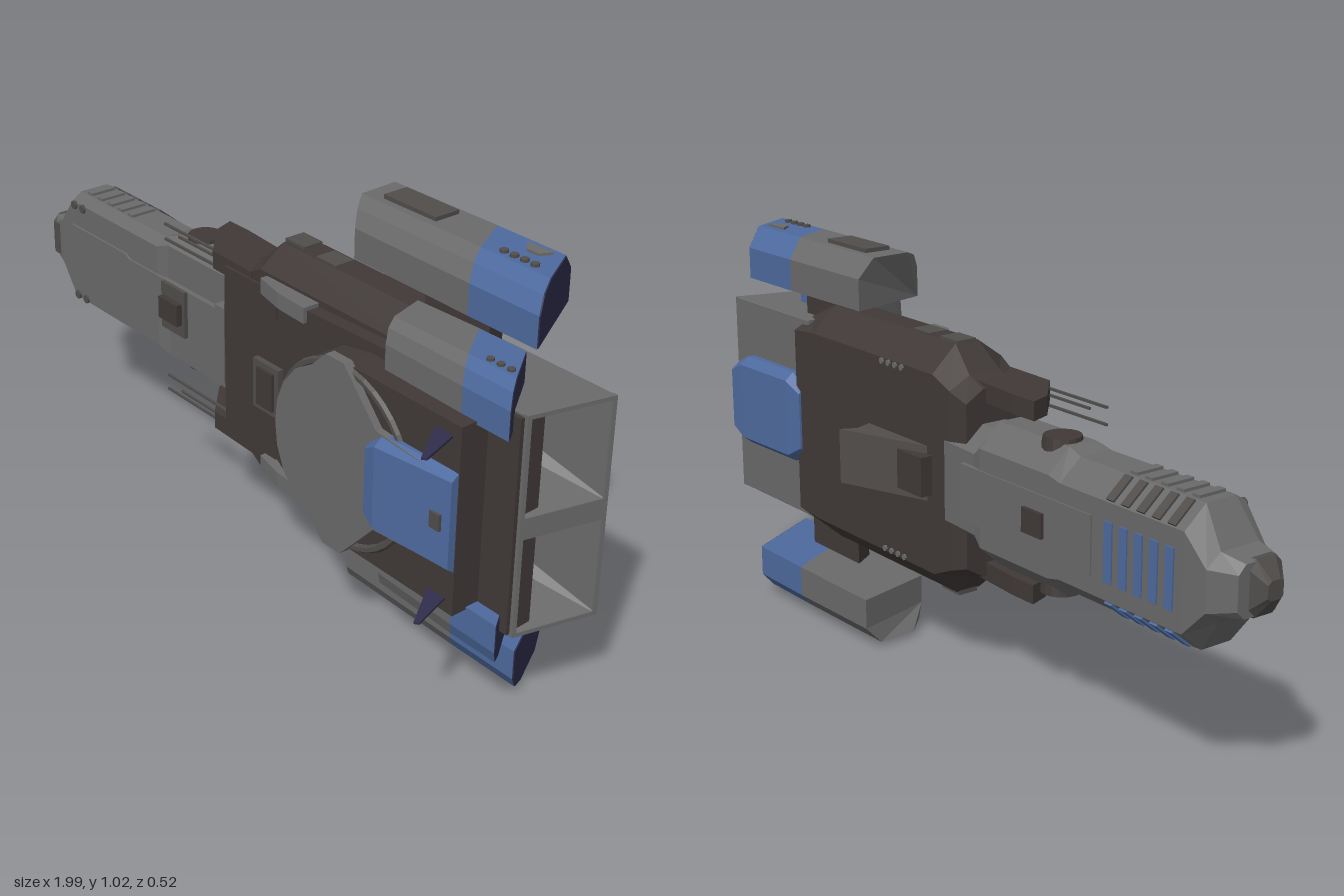
import * as THREE from 'three';

export function createModel() {
  const mat = (name, color) => {
    const m = new THREE.MeshStandardMaterial({ color });
    m.name = name;
    m.flatShading = true;
    return m;
  };
  const grey = mat('hull grey', 0x6a6a6a), brown = mat('dark brown', 0x403937);
  const blue = mat('panel blue', 0x4d6a9e), navy = mat('engine navy', 0x302e4c);
  const slate = mat('detail grey', 0x504d4b);

  const root = new THREE.Group();
  const ship = new THREE.Group();
  ship.name = 'ship';
  ship.position.y = 0.512; // the ship mirrors about this height
  root.add(ship);

  const add = (name, geo, m) => {
    const mesh = new THREE.Mesh(geo, m);
    mesh.name = name;
    ship.add(mesh);
    return mesh;
  };
  const box = (name, m, x0, x1, y0, y1, z0, z1) =>
    add(name, new THREE.BoxGeometry(x1 - x0, y1 - y0, z1 - z0), m)
      .position.set((x0 + x1) / 2, (y0 + y1) / 2, (z0 + z1) / 2);

  // Skin along x through [x or x(y, z), ring of [y, z]]
  const loft = (name, m, sections, startCap = true, endCap = true) => {
    const rings = sections.map(([x, ring]) =>
      ring.map(([y, z]) => [typeof x === 'function' ? x(y, z) : x, y, z]));
    const out = [], tri = (a, b, c) => out.push(...a, ...b, ...c);
    const n = rings[0].length, last = rings[rings.length - 1];
    for (let i = 0; i + 1 < rings.length; i++) for (let j = 0; j < n; j++) {
      const k = (j + 1) % n, a = rings[i], b = rings[i + 1];
      tri(a[j], a[k], b[k]);
      tri(a[j], b[k], b[j]);
    }
    for (let j = 1; j + 1 < n; j++) {
      if (startCap) tri(rings[0][0], rings[0][j + 1], rings[0][j]);
      if (endCap) tri(last[0], last[j], last[j + 1]);
    }
    const g = new THREE.BufferGeometry();
    g.setAttribute('position', new THREE.Float32BufferAttribute(out, 3));
    g.computeVertexNormals();
    return add(name, g, m);
  };
  // Chamfered section: half width, front z, back z, front and back chamfers
  const oct = (h, f, b, fy, fz, by, bz) => [
    [h - fy, f], [fy - h, f], [-h, f - fz], [-h, b + bz],
    [by - h, b], [h - by, b], [h, b + bz], [h, f - fz]];
  const side = (ring, s) => s > 0 ? ring : ring.map(([y, z]) => [-y, z]).reverse();
  const shape = pts => new THREE.Shape(pts.map(p => new THREE.Vector2(...p)));
  const prism = (pts, depth) => new THREE.ExtrudeGeometry(shape(pts), { depth, bevelEnabled: false });
  // Plate facing z, mirrored from its upper outline
  const slab = (name, m, half, z0, z1) => {
    const pts = [...half, ...half.slice().reverse().filter(p => p[1] !== 0).map(([x, y]) => [x, -y])];
    add(name, prism(pts, z1 - z0).translate(0, 0, z0), m);
  };
  // Plate facing y with an outline in x, z
  const fin = (name, m, pts, y0, y1) =>
    add(name, prism(pts.map(([x, z]) => [x, -z]), y1 - y0).rotateX(-Math.PI / 2).translate(0, y0, 0), m);

  // Nose and neck
  loft('noseTip', slate, [
    [-1, oct(0.022, -0.04, -0.085, 0.008, 0.01, 0.008, 0.01)],
    [-0.968, oct(0.065, -0.016, -0.11, 0.02, 0.02, 0.02, 0.02)],
    [-0.91, oct(0.065, -0.016, -0.13, 0.02, 0.02, 0.02, 0.02)]]);
  loft('neck', grey, [
    [-0.97, oct(0.06, -0.02, -0.14, 0.02, 0.01, 0.02, 0.02)],
    [-0.92, oct(0.078, -0.014, -0.183, 0.015, 0.02, 0.03, 0.04)],
    [-0.857, oct(0.163, -0.012, -0.187, 0.02, 0.03, 0.05, 0.06)],
    [-0.46, oct(0.163, -0.012, -0.187, 0.02, 0.03, 0.05, 0.06)],
    [-0.42, oct(0.177, -0.02, -0.187, 0.02, 0.03, 0.055, 0.06)],
    [-0.17, oct(0.177, -0.02, -0.187, 0.02, 0.03, 0.055, 0.06)],
    [-0.14, oct(0.15, -0.02, -0.18, 0.02, 0.03, 0.05, 0.06)],
    [0, oct(0.15, -0.02, -0.17, 0.02, 0.03, 0.05, 0.06)]]);
  slab('neckFrontPanel', grey, [[-0.9, 0], [-0.86, 0.075], [-0.6, 0.075], [-0.58, 0.065], [-0.1, 0.065], [-0.1, 0]], -0.03, -0.006);
  slab('neckBackPanel', grey, [[-0.57, 0], [-0.57, 0.07], [-0.1, 0.07], [-0.1, 0]], -0.191, -0.18);
  box('neckFrontHatch', slate, -0.42, -0.32, -0.065, 0.065, -0.03, 0.005);
  box('neckFrontSensor', brown, -0.41, -0.33, -0.03, 0.03, 0, 0.022);
  box('neckBackSensor', brown, -0.41, -0.34, -0.03, 0.03, -0.2, -0.18);
  box('neckCollar', grey, -0.18, -0.08, -0.09, 0.09, -0.04, 0.012);
  box('neckCollarStep', slate, -0.13, -0.07, -0.11, 0.11, -0.04, 0.02);
  for (let i = 0; i < 5; i++) {
    const x = -0.83 + i * 0.048;
    box('backVent', blue, x, x + 0.025, -0.07, 0.07, -0.191, -0.184);
    for (const s of [1, -1]) {
      const vent = add('chamferVent', new THREE.BoxGeometry(0.024, 0.07, 0.008), s > 0 ? slate : blue);
      vent.position.set(x + 0.012, s * 0.139, -0.158);
      vent.rotation.x = s * 0.876;
      box('neckRib', grey, x, x + 0.022, s * 0.163 - 0.007, s * 0.163 + 0.007, -0.12, -0.045);
    }
  }
  for (const s of [1, -1]) {
    for (const x of [-0.845, -0.805])
      add('noseLamp', new THREE.CylinderGeometry(0.012, 0.012, 0.008, 10).rotateX(Math.PI / 2), slate).position.set(x, s * 0.135, -0.01);
    add('neckTurret', new THREE.CylinderGeometry(0.045, 0.05, 0.03, 16), brown).position.set(-0.365, s * 0.172, -0.1);
  }

  // Main hull, with the deck stepped on its front
  loft('hull', brown, [
    [-0.09, oct(0.235, 0.02, -0.165, 0.02, 0.04, 0.03, 0.05)],
    [-0.03, oct(0.255, 0.03, -0.17, 0.02, 0.05, 0.03, 0.06)],
    [0.035, oct(0.318, 0.035, -0.172, 0.05, 0.07, 0.065, 0.07)],
    [0.56, oct(0.318, 0.035, -0.172, 0.05, 0.07, 0.065, 0.07)],
    [0.65, oct(0.275, 0.035, -0.172, 0.02, 0.05, 0.03, 0.06)]]);
  slab('deck', brown, [[0.06, 0], [0.06, 0.13], [0.13, 0.18], [0.24, 0.25], [0.55, 0.26], [0.93, 0.265], [0.93, 0]], 0, 0.07);
  slab('foreDeck', brown, [[-0.1, 0], [-0.1, 0.23], [0.1, 0.23], [0.1, 0]], 0, 0.04);
  box('deckHatch', slate, 0.07, 0.165, -0.065, 0.065, 0.05, 0.085);
  box('deckHatchLid', brown, 0.09, 0.15, -0.05, 0.05, 0.08, 0.092);
  fin('backWedge', slate, [[0.04, -0.165], [0.31, -0.165], [0.29, -0.22], [0.31, -0.26]], -0.07, 0.07);
  box('backWedgeLid', brown, 0.04, 0.14, -0.05, 0.05, -0.205, -0.16);

  // Gun drum, cap and front armour
  slab('turretDrum', brown, [[0.235, 0], [0.252, 0.09], [0.305, 0.165], [0.38, 0.215], [0.47, 0.232], [0.84, 0.232], [0.84, 0]], 0.06, 0.146);
  add('turretRing', new THREE.TorusGeometry(0.222, 0.01, 6, 40), slate).position.set(0.47, 0, 0.146);
  slab('turretCap', grey, [[0.255, 0], [0.262, 0.06], [0.285, 0.115], [0.325, 0.163], [0.38, 0.195], [0.43, 0.243],
    [0.49, 0.243], [0.54, 0.19], [0.6, 0.125], [0.78, 0.11], [0.78, 0]], 0.14, 0.165);
  loft('frontArmour', blue, [
    [0.583, oct(0.095, 0.18, 0.135, 0.015, 0.02, 0.005, 0.005)],
    [0.62, oct(0.122, 0.187, 0.13, 0.02, 0.025, 0.005, 0.005)],
    [0.838, oct(0.122, 0.165, 0.115, 0.015, 0.02, 0.005, 0.005)]]);
  box('armourLatch', slate, 0.785, 0.815, -0.02, 0.02, 0.155, 0.175);
  loft('backArmour', blue, [
    [0.63, oct(0.09, -0.14, -0.178, 0.005, 0.005, 0.015, 0.015)],
    [0.68, oct(0.123, -0.14, -0.188, 0.005, 0.005, 0.02, 0.025)],
    [0.9, oct(0.123, -0.14, -0.195, 0.005, 0.005, 0.02, 0.025)],
    [0.95, oct(0.1, -0.14, -0.195, 0.005, 0.005, 0.02, 0.025)]]);

  // Slanted engine housing with two tapered nozzles
  const slant = (y, z) => 0.96 - 0.24 * (z + 0.045);
  loft('engineHousing', grey, [
    [0.62, oct(0.272, 0.055, -0.148, 0.002, 0.002, 0.002, 0.002)],
    [slant, oct(0.272, 0.06, -0.15, 0.002, 0.002, 0.002, 0.002)]], true, false);
  const rim = shape([[-0.06, -0.272], [0.15, -0.272], [0.15, 0.272], [-0.06, 0.272]]);
  for (const s of [1, -1])
    rim.holes.push(new THREE.Path([[-0.05, s * 0.026], [0.14, s * 0.026], [0.14, s * 0.262], [-0.05, s * 0.262]].map(p => new THREE.Vector2(...p))));
  const rimGeo = new THREE.ExtrudeGeometry(rim, { depth: 0.014, bevelEnabled: false }).rotateY(Math.PI / 2);
  const p = rimGeo.attributes.position;
  for (let i = 0; i < p.count; i++) p.setX(i, p.getX(i) + slant(0, p.getZ(i)) - 0.01);
  rimGeo.computeVertexNormals();
  add('engineRim', rimGeo, grey);

  for (const s of [1, -1]) {
    const inward = (y0, y1, f, b, c) => side([[y0 + c, f], [y0, f - c], [y0, b + c], [y0 + c, b],
      [y1 - c, b], [y1, b + c], [y1, f - c], [y1 - c, f]], s).slice().reverse();
    loft('nozzle', grey, [
      [0.76, inward(0.075, 0.215, 0.01, -0.1, 0.03)],
      [slant, inward(0.026, 0.262, 0.05, -0.14, 0.002)]], true, false);
    box('nozzleCore', brown, 0.755, 0.775, s * 0.145 - 0.045, s * 0.145 + 0.045, -0.08, -0.01);

    // Outer engine pod
    const big = side([[0.375, -0.015], [0.375, -0.237], [0.455, -0.237], [0.503, -0.19],
      [0.503, -0.08], [0.487, -0.037], [0.45, -0.015]], s);
    const cut = x => (y, z) => x + 0.56 * (z + 0.126);
    loft('outerPodNose', grey, [
      [(y, z) => 0.25 + 0.06 * Math.max(0, (z + 0.09) / 0.075), big.map(([y, z]) => [y * 0.985 + s * 0.006, z * 0.96 - 0.005])],
      [cut(0.615), big]]);
    loft('outerPodBand', blue, [[cut(0.615), big], [cut(0.817), big]]);
    loft('outerPodNozzle', navy, [[cut(0.816), big], [cut(0.82), big.map(([y, z]) => [y * 0.98 + s * 0.0088, z * 0.97 - 0.004])]]);
    box('outerPodRidge', slate, 0.31, 0.48, s * 0.502 - 0.01, s * 0.502 + 0.01, -0.17, -0.1);
    fin('podMarker', grey, [[0.69, -0.17], [0.765, -0.17], [0.75, -0.14], [0.715, -0.14]], s * 0.503 - 0.006, s * 0.503 + 0.006);
    for (let i = 0; i < 4; i++)
      add('podLamp', new THREE.CylinderGeometry(0.01, 0.01, 0.014, 8), slate).position.set(0.69 + i * 0.03, s * 0.503, -0.1);

    // Inner engine pod
    const small = side([[0.225, 0.105], [0.225, -0.04], [0.343, -0.04], [0.343, 0.06], [0.33, 0.092], [0.295, 0.105]], s);
    const trim = x => (y, z) => x + 0.72 * (z - 0.03);
    loft('innerPodNose', grey, [
      [(y, z) => 0.5 + 0.5 * Math.max(0, z), small.map(([y, z]) => [y * 0.97 + s * 0.006, z * 0.94])],
      [trim(0.74), small]]);
    loft('innerPodBand', blue, [[trim(0.74), small], [trim(0.878), small]]);
    loft('innerPodNozzle', navy, [[trim(0.877), small], [trim(0.88), small.map(([y, z]) => [y * 0.97 + s * 0.008, z * 0.96])]]);
    for (let i = 0; i < 3; i++)
      add('innerPodLamp', new THREE.CylinderGeometry(0.009, 0.009, 0.012, 8), slate).position.set(0.81 + i * 0.03, s * 0.343, 0.045);

    // Pylon between hull and outer pod
    fin('pylon', brown, [[0.48, -0.1], [0.7, -0.1], [0.72, -0.04], [0.52, -0.04]], s > 0 ? 0.25 : -0.38, s > 0 ? 0.38 : -0.25);

    // Fore bracket, side blocks and gun barrels
    const y0 = s > 0 ? 0.2 : -0.247;
    fin('foreBracket', brown, [[-0.28, -0.115], [-0.2, -0.115], [0, -0.1], [0, 0.035], [-0.16, 0.03], [-0.26, -0.06]], y0, y0 + 0.047);
    for (const [y, x] of [[0.236, -0.39], [0.195, -0.39], [0.22, -0.33]])
      box('gunBarrel', slate, x, -0.1, s * y - 0.003, s * y + 0.003, 0.006, 0.012);
    box('sideBlock', slate, 0.03, 0.1, s * 0.31 - 0.015, s * 0.31 + 0.015, -0.1, -0.045);
    box('sidePanel', slate, 0.15, 0.22, s * 0.317 - 0.004, s * 0.317 + 0.004, -0.095, -0.04);
    fin('sideVane', grey, [[0.06, 0.03], [0.25, 0.03], [0.25, 0.08], [0.15, 0.075], [0.06, 0.055]], s * 0.24 - 0.02, s * 0.24 + 0.02);
    for (let i = 0; i < 4; i++)
      add('hullLamp', new THREE.CylinderGeometry(0.008, 0.008, 0.012, 8).rotateX(Math.PI / 2), grey).position.set(0.16 + i * 0.028, s * 0.245, -0.171);

    // Tail fins
    fin('tailFin', navy, [[0.75, 0.13], [0.81, 0.13], [0.85, 0.25], [0.84, 0.258]], s * 0.2 - 0.003, s * 0.2 + 0.003);
  }
  return root;
}
